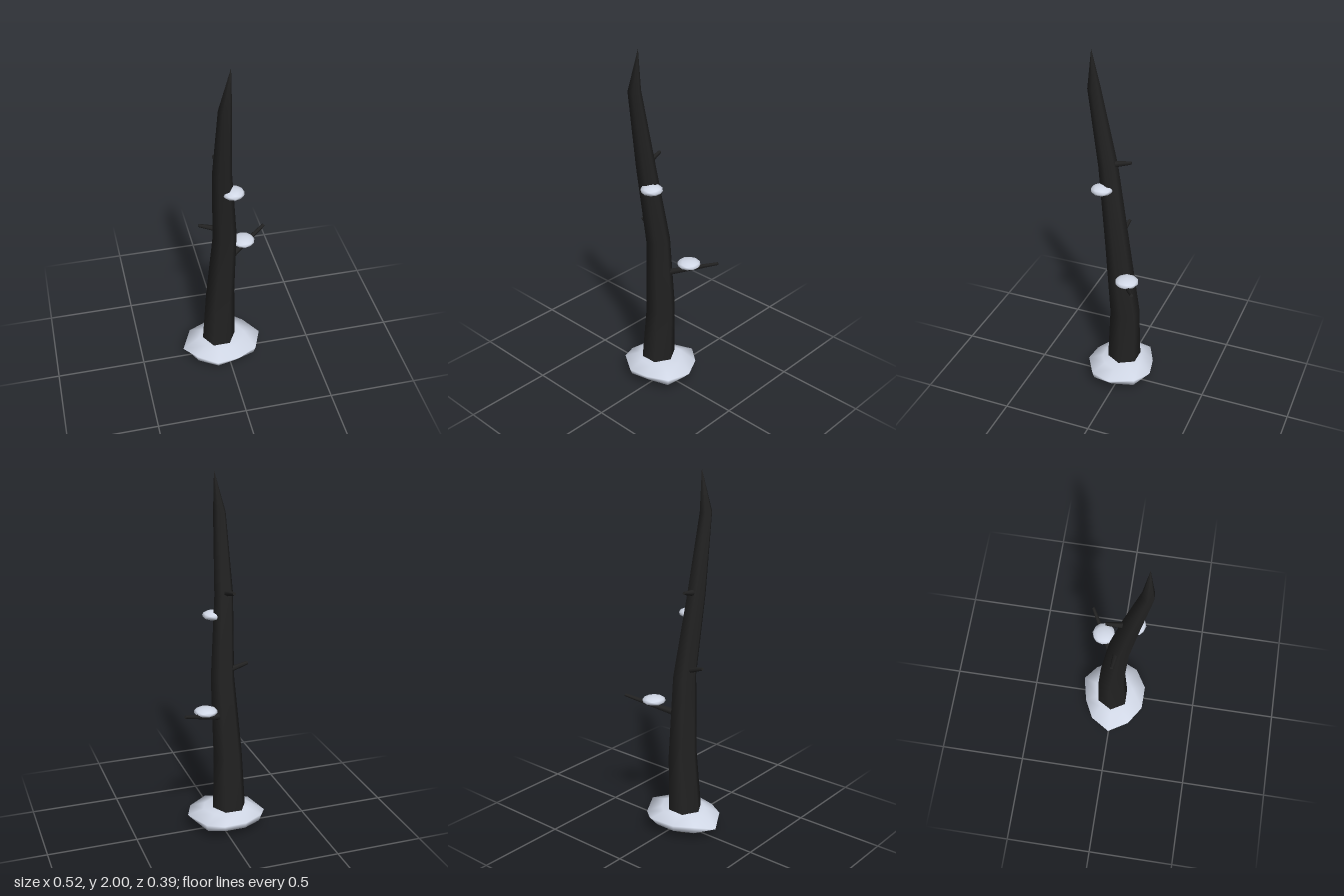
import * as THREE from 'three';

const bark = new THREE.MeshStandardMaterial({ color: 0x222222, side: THREE.DoubleSide });
bark.name = 'charred bark';
const snow = new THREE.MeshStandardMaterial({ color: 0xd8dfee });
snow.name = 'snow';

// Skin a list of equally long rings (bottom to top, counterclockwise from above)
function loft(rings) {
  const n = rings[0].length, index = [];
  for (let j = 0; j < rings.length - 1; j++) {
    for (let i = 0; i < n; i++) {
      const a = j * n + i, b = j * n + (i + 1) % n;
      index.push(a, b, b + n, a, b + n, a + n);
    }
  }
  const geo = new THREE.BufferGeometry();
  geo.setAttribute('position', new THREE.Float32BufferAttribute(rings.flat(2), 3));
  geo.setIndex(index);
  geo.computeVertexNormals();
  return geo;
}

function add(group, name, geo, mat) {
  const mesh = new THREE.Mesh(geo, mat);
  mesh.name = name;
  group.add(mesh);
  return mesh;
}

// Bent six-sided trunk, open below, ending in a splintered point
function trunkGeometry() {
  const sections = [ // x, y, z, radius
    [-0.048, 0.007, 0, 0.1], [-0.033, 0.45, -0.01, 0.083], [-0.015, 0.9, 0.028, 0.067],
    [-0.043, 1.35, 0.09, 0.053], [-0.044, 1.78, 0.165, 0.035], [-0.015, 2, 0.165, 0.0005],
  ];
  return loft(sections.map(([x, y, z, r], j) => Array.from({ length: 6 }, (_, i) => {
    const a = i * Math.PI / 3;
    const tilt = j === 0 ? -0.007 * Math.cos(a) : 0;
    return [x + r * Math.cos(a), y + tilt, z - r * Math.sin(a)];
  })));
}

// Tapered twig between two points
function twig(group, name, from, to, r0, r1) {
  const a = new THREE.Vector3(...from), b = new THREE.Vector3(...to);
  const dir = b.clone().sub(a);
  const mesh = add(group, name, new THREE.CylinderGeometry(r1, r0, dir.length(), 6), bark);
  mesh.position.copy(a).add(b).multiplyScalar(0.5);
  mesh.quaternion.setFromUnitVectors(new THREE.Vector3(0, 1, 0), dir.normalize());
}

// Flattened clump of snow
function clump(group, name, pos, r, h) {
  const mesh = add(group, name, new THREE.IcosahedronGeometry(1, 1), snow);
  mesh.position.set(...pos);
  mesh.scale.set(r, h, r);
}

// Irregular snow mound around the foot
function moundGeometry() {
  const outline = [ // x, z, height of the widest point
    [0.2, 0, 0.1], [0.13, -0.13, 0.09], [0.045, -0.195, 0.1], [-0.09, -0.165, 0.085], [-0.2, -0.11, 0.09],
    [-0.26, 0, 0.055], [-0.2, 0.115, 0.09], [-0.09, 0.185, 0.08], [0.04, 0.187, 0.1], [0.15, 0.12, 0.09],
  ];
  const cx = -0.03;
  const ring = (s, y) => outline.map(([x, z]) => [cx + (x - cx) * s, y, z * s]);
  const bottom = outline.map(([x, z, y]) => {
    const s = y > 0.095 ? 0.8 : 0.94;
    return [cx + (x - cx) * s, 0.05, z * s];
  });
  const widest = outline.map(([x, z, y]) => [x, y, z]);
  return loft([ring(0.001, 0.05), bottom, widest, ring(0.6, 0.122), ring(0.001, 0.128)]);
}

export function createModel() {
  const tree = new THREE.Group();
  tree.name = 'bareTree';
  add(tree, 'trunk', trunkGeometry(), bark);
  twig(tree, 'longBranch', [0.02, 0.69, -0.02], [0.255, 0.778, -0.16], 0.019, 0.009);
  twig(tree, 'rightTwig', [-0.06, 0.945, 0.017], [-0.153, 0.976, 0.008], 0.016, 0.009);
  twig(tree, 'backTwig', [-0.047, 1.365, 0.06], [-0.06, 1.385, -0.034], 0.018, 0.009);
  add(tree, 'snowMound', moundGeometry(), snow);
  clump(tree, 'trunkSnow', [0.013, 1.235, 0.105], 0.06, 0.026);
  clump(tree, 'branchSnow', [0.116, 0.757, -0.078], 0.065, 0.024);
  return tree;
}
